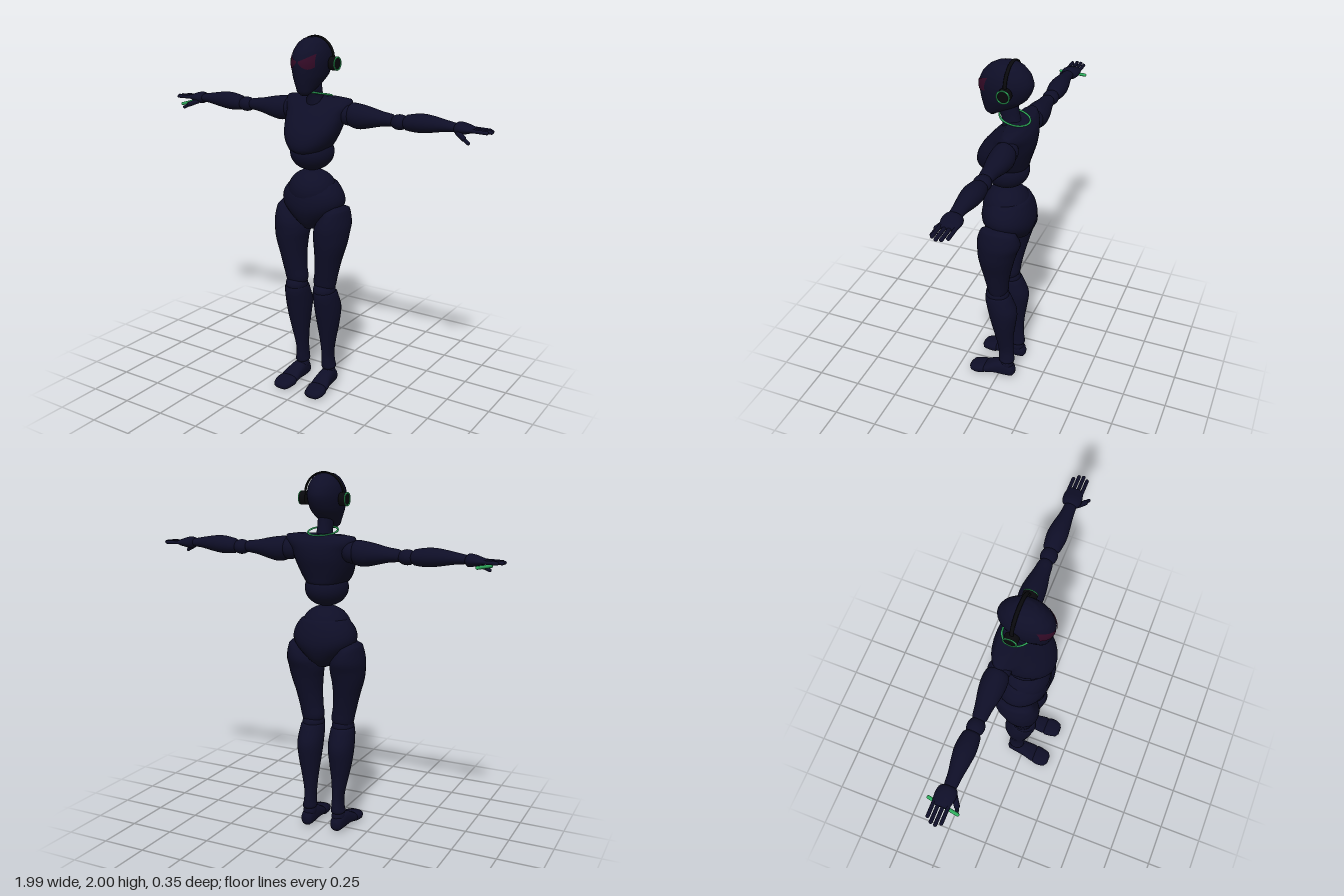
import * as THREE from 'three';

const mat = (name, color, side = THREE.FrontSide) => {
  const m = new THREE.MeshStandardMaterial({ color, side });
  m.name = name;
  return m;
};

// Smoothly resample section rows [t, aMin, aMax, bMin, bMax]
function smoothRows(rows, steps = 4) {
  const get = i => rows[Math.min(rows.length - 1, Math.max(0, i))];
  const out = [];
  for (let i = 0; i < rows.length - 1; i++) {
    for (let s = 0; s < steps; s++) {
      const u = s / steps;
      out.push(rows[i].map((p1, k) => {
        const p0 = get(i - 1)[k], p2 = get(i + 1)[k], p3 = get(i + 2)[k];
        if (k === 0) return p1 + (p2 - p1) * u;
        return p1 + 0.5 * u * (p2 - p0 + u * (2 * p0 - 5 * p1 + 4 * p2 - p3 + u * (3 * (p1 - p2) + p3 - p0)));
      }));
    }
  }
  out.push(rows[rows.length - 1]);
  return out;
}

// Closed body through elliptical sections. Axis x: a=y b=z; y: a=z b=x; z: a=x b=y
function loft(axis, rows, power = 1) {
  if (rows[0][0] > rows[rows.length - 1][0]) rows = [...rows].reverse();
  const rings = smoothRows(rows), sides = 28, pos = [], idx = [];
  const shift = { x: 0, y: 1, z: 2 }[axis];
  const put = (t, a, b) => {
    const p = [];
    [t, a, b].forEach((v, k) => { p[(k + shift) % 3] = v; });
    pos.push(...p);
  };
  const bend = v => Math.sign(v) * Math.abs(v) ** power;
  for (const [t, a0, a1, b0, b1] of rings) {
    for (let j = 0; j < sides; j++) {
      const q = j / sides * Math.PI * 2;
      put(t, (a0 + a1) / 2 + (a1 - a0) / 2 * bend(Math.cos(q)), (b0 + b1) / 2 + (b1 - b0) / 2 * bend(Math.sin(q)));
    }
  }
  for (const [t, a0, a1, b0, b1] of [rings[0], rings[rings.length - 1]]) put(t, (a0 + a1) / 2, (b0 + b1) / 2);
  const last = (rings.length - 1) * sides, c = rings.length * sides;
  for (let j = 0; j < sides; j++) {
    const n = (j + 1) % sides;
    for (let r = 0; r < last; r += sides) idx.push(r + j, r + n, r + sides + j, r + n, r + sides + n, r + sides + j);
    idx.push(c, n, j, c + 1, last + j, last + n);
  }
  const g = new THREE.BufferGeometry();
  g.setAttribute('position', new THREE.Float32BufferAttribute(pos, 3));
  g.setIndex(idx);
  g.computeVertexNormals();
  return g;
}

const ball = (x, y, z, rx, ry, rz) => new THREE.SphereGeometry(1, 28, 20).scale(rx, ry, rz).translate(x, y, z);

// Rounded rod between two points
function rod(a, b, r) {
  const p = new THREE.Vector3(...a), d = new THREE.Vector3(...b).sub(p), len = d.length();
  const turn = new THREE.Quaternion().setFromUnitVectors(new THREE.Vector3(0, 1, 0), d.clone().normalize());
  return new THREE.CapsuleGeometry(r, len, 5, 12).applyQuaternion(turn).translate(...p.addScaledVector(d, 0.5).toArray());
}

function mirrored(geo) {
  const g = geo.clone().scale(-1, 1, 1), i = g.index.array;
  for (let k = 0; k < i.length; k += 3) [i[k], i[k + 1]] = [i[k + 1], i[k]];
  return g;
}

export function createModel() {
  const root = new THREE.Group();
  root.name = 'jointedFigure';
  const navy = mat('navy body', 0x0e0e27), black = mat('black headset', 0x08080c);
  const green = mat('green trim', 0x2fae5e), plum = mat('plum eyes', 0x330a26, THREE.DoubleSide);
  const add = (name, geo, m = navy) => {
    const mesh = new THREE.Mesh(geo, m);
    mesh.name = name;
    root.add(mesh);
  };
  const pair = (name, geo, m = navy) => {
    add(name + 'Left', geo, m);
    add(name + 'Right', mirrored(geo), m);
  };

  // Head and neck
  const head = [
    [1.698, 0.05, 0.085, -0.02, 0.02], [1.715, 0.02, 0.105, -0.04, 0.04], [1.755, -0.06, 0.118, -0.062, 0.062],
    [1.80, -0.118, 0.128, -0.082, 0.082], [1.87, -0.15, 0.135, -0.093, 0.093], [1.925, -0.138, 0.117, -0.087, 0.087],
    [1.965, -0.105, 0.08, -0.068, 0.068], [1.985, -0.07, 0.045, -0.044, 0.044], [1.993, -0.03, 0.01, -0.015, 0.015]];
  add('head', loft('y', head));
  add('neck', loft('y', [[1.62, -0.1, 0.01, -0.055, 0.055], [1.68, -0.085, 0.015, -0.042, 0.042],
    [1.73, -0.075, 0.03, -0.04, 0.04], [1.79, -0.07, 0.04, -0.04, 0.04]]));
  add('collarRing', new THREE.TorusGeometry(0.08, 0.005, 8, 48).rotateX(Math.PI / 2 - 0.22).translate(0, 1.692, -0.053), green);

  // Wing-shaped eyes laid on the face
  const dense = smoothRows(head);
  const faceZ = (x, y) => {
    const i = dense.findIndex(r => r[0] > y), lo = dense[i - 1], hi = dense[i];
    const [, a0, a1, , b1] = lo.map((v, k) => v + (hi[k] - v) * (y - lo[0]) / (hi[0] - lo[0]));
    return (a0 + a1) / 2 + (a1 - a0) / 2 * Math.sqrt(Math.max(0, 1 - (x / b1) ** 2)) + 0.004;
  };
  const eye = new THREE.PlaneGeometry(1, 1, 14, 8), ep = eye.attributes.position;
  for (let i = 0; i < ep.count; i++) {
    const u = ep.getX(i) + 0.5, v = ep.getY(i) + 0.5, x = 0.006 + 0.068 * u;
    const low = 1.872 - 0.032 * Math.sin(u * 2.4), high = 1.882 + 0.036 * u ** 1.3;
    const y = low + (high - low) * v;
    ep.setXYZ(i, x, y, faceZ(x, y));
  }
  eye.computeVertexNormals();
  pair('eye', eye, plum);

  // Headset
  add('headband', new THREE.TorusGeometry(0.111, 0.005, 8, 40, Math.PI).scale(1, 1, 2).translate(0, 1.884, -0.04), black);
  pair('earCup', new THREE.CylinderGeometry(0.036, 0.036, 0.036, 28).rotateZ(Math.PI / 2).translate(0.116, 1.86, -0.04), black);
  pair('earCupRing', new THREE.TorusGeometry(0.033, 0.004, 8, 32).rotateY(Math.PI / 2).translate(0.134, 1.86, -0.04), green);

  // Torso and hips
  add('chest', loft('y', [
    [1.68, -0.11, -0.05, -0.14, 0.14], [1.672, -0.135, -0.03, -0.195, 0.195], [1.64, -0.158, 0.01, -0.2, 0.2],
    [1.60, -0.167, 0.055, -0.177, 0.177], [1.55, -0.165, 0.10, -0.165, 0.165], [1.50, -0.152, 0.132, -0.152, 0.152],
    [1.45, -0.137, 0.147, -0.13, 0.13], [1.41, -0.122, 0.142, -0.1, 0.1], [1.388, -0.06, 0.11, -0.055, 0.055]], 0.9));
  add('abdomen', ball(0, 1.385, -0.008, 0.118, 0.1, 0.125));
  add('waist', ball(0, 1.17, -0.012, 0.138, 0.12, 0.13));
  add('hips', loft('y', [
    [1.235, -0.11, 0.05, -0.09, 0.09], [1.215, -0.14, 0.085, -0.135, 0.135], [1.165, -0.162, 0.113, -0.171, 0.171],
    [1.11, -0.173, 0.12, -0.18, 0.18], [1.06, -0.168, 0.113, -0.15, 0.15], [1.0, -0.14, 0.085, -0.085, 0.085],
    [0.96, -0.09, 0.045, -0.04, 0.04], [0.95, -0.06, 0.01, -0.015, 0.015]]));

  // Legs
  pair('thigh', loft('y', [
    [1.10, -0.06, 0.03, 0.13, 0.185], [1.075, -0.12, 0.08, 0.10, 0.206], [1.0, -0.138, 0.106, 0.045, 0.224],
    [0.94, -0.118, 0.108, 0.03, 0.222], [0.88, -0.1, 0.104, 0.037, 0.213], [0.80, -0.08, 0.092, 0.042, 0.19],
    [0.71, -0.062, 0.076, 0.037, 0.17], [0.65, -0.055, 0.066, 0.028, 0.158], [0.61, -0.045, 0.055, 0.04, 0.148]]));
  pair('knee', ball(0.092, 0.61, 0.01, 0.062, 0.055, 0.068));
  pair('calf', loft('y', [
    [0.62, -0.04, 0.05, 0.04, 0.145], [0.595, -0.07, 0.08, 0.027, 0.16], [0.5, -0.108, 0.066, 0.024, 0.168],
    [0.4, -0.1, 0.045, 0.034, 0.158], [0.3, -0.087, 0.023, 0.047, 0.138], [0.2, -0.086, 0.006, 0.054, 0.12],
    [0.14, -0.092, 0.003, 0.052, 0.124], [0.115, -0.092, 0, 0.05, 0.13], [0.1, -0.075, -0.015, 0.065, 0.115]]));
  pair('ankle', ball(0.09, 0.085, -0.045, 0.037, 0.045, 0.042));
  pair('foot', loft('z', [
    [-0.098, 0.075, 0.11, 0.025, 0.06], [-0.085, 0.06, 0.125, 0.008, 0.085], [-0.03, 0.053, 0.135, 0.006, 0.108],
    [0.03, 0.05, 0.145, 0.012, 0.092], [0.075, 0.048, 0.155, 0.01, 0.068], [0.1, 0.06, 0.145, 0.015, 0.05]], 0.8));
  pair('toes', loft('z', [
    [0.07, 0.06, 0.145, 0.01, 0.05], [0.09, 0.046, 0.158, 0.002, 0.063], [0.13, 0.05, 0.162, 0, 0.056],
    [0.165, 0.06, 0.15, 0.002, 0.046], [0.178, 0.08, 0.13, 0.012, 0.032]], 0.8));

  // Arms
  pair('shoulder', ball(0.18, 1.595, -0.08, 0.055, 0.06, 0.06));
  pair('upperArm', loft('x', [
    [0.185, 1.55, 1.64, -0.12, -0.04], [0.205, 1.53, 1.657, -0.14, -0.02], [0.25, 1.522, 1.655, -0.146, -0.015],
    [0.31, 1.533, 1.645, -0.14, -0.02], [0.38, 1.55, 1.63, -0.125, -0.033], [0.44, 1.558, 1.622, -0.115, -0.04],
    [0.465, 1.57, 1.61, -0.1, -0.055]]));
  pair('elbow', ball(0.487, 1.585, -0.078, 0.05, 0.04, 0.045));
  pair('forearm', loft('x', [
    [0.51, 1.565, 1.61, -0.11, -0.05], [0.53, 1.547, 1.628, -0.125, -0.035], [0.6, 1.543, 1.64, -0.134, -0.026],
    [0.66, 1.55, 1.638, -0.128, -0.03], [0.74, 1.564, 1.625, -0.113, -0.04], [0.795, 1.57, 1.615, -0.108, -0.045],
    [0.81, 1.58, 1.605, -0.095, -0.06]]));
  pair('palm', loft('x', [
    [0.79, 1.575, 1.605, -0.1, -0.055], [0.808, 1.558, 1.622, -0.125, -0.035], [0.84, 1.562, 1.62, -0.133, -0.03],
    [0.88, 1.572, 1.607, -0.13, -0.038], [0.9, 1.58, 1.6, -0.122, -0.045]]));

  // Fingers from little to index, then thumb
  [0.96, 0.98, 0.985, 0.97].forEach((tip, i) => {
    const z = -0.12 + i * 0.024;
    pair('finger' + (i + 1), rod([0.88, 1.59, z], [tip, 1.588, z], 0.0095));
  });
  pair('thumbBase', rod([0.825, 1.572, -0.045], [0.865, 1.555, -0.018], 0.014));
  pair('thumbTip', rod([0.865, 1.553, -0.018], [0.895, 1.537, -0.008], 0.0095));

  // Thin baton under the right hand
  add('baton', rod([-0.9, 1.557, 0], [-0.875, 1.567, -0.155], 0.009), green);
  return root;
}
